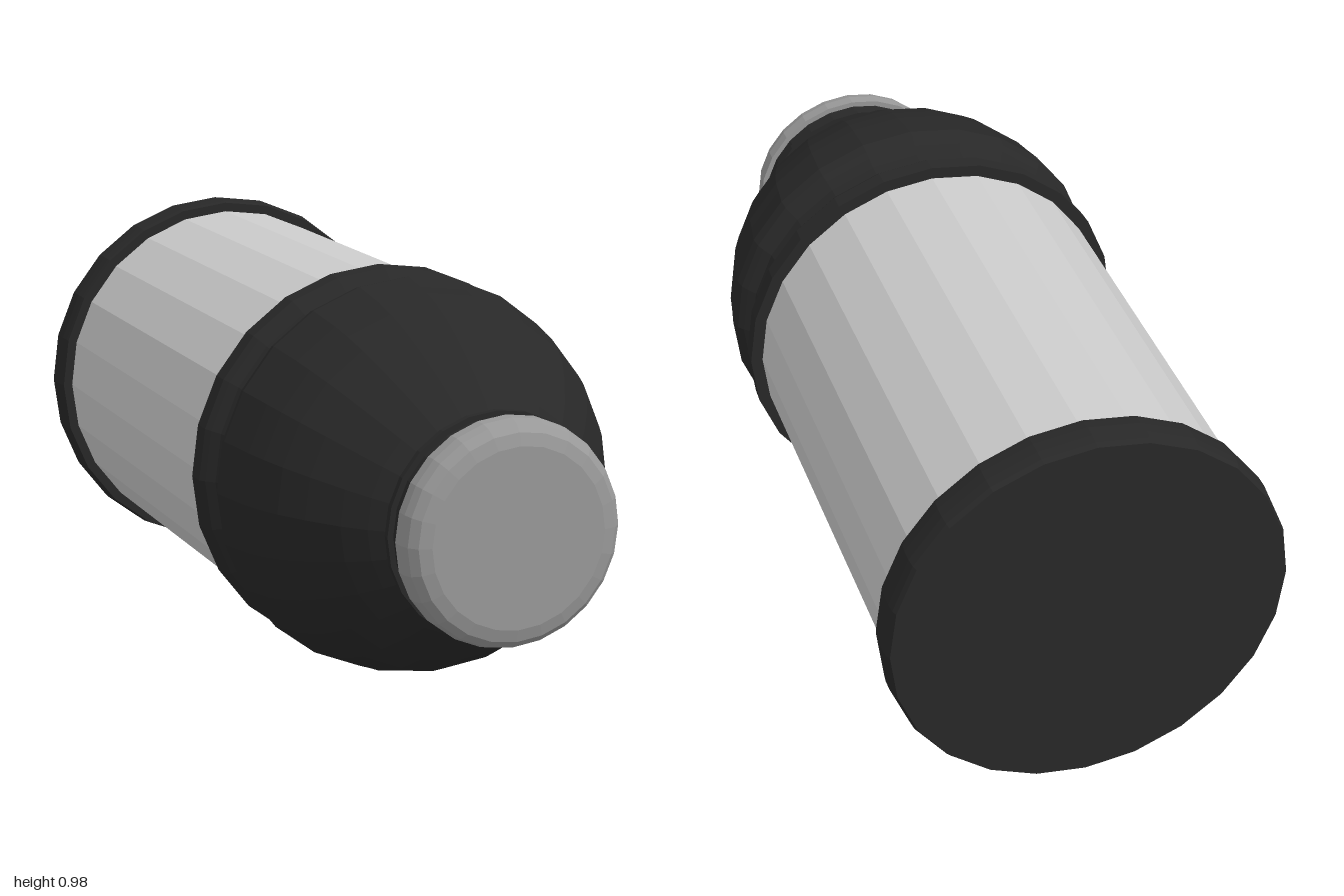
import * as THREE from 'three';

const SIDES = 24;
const material = (color) => new THREE.MeshStandardMaterial({ color, flatShading: true });

// Revolve [radius, z] pairs (ordered back to front) around the long axis.
function turned(name, profile, mat, sides = SIDES, start = 0, sweep = Math.PI * 2) {
  const points = profile.map(([r, z]) => new THREE.Vector2(r, z));
  const geometry = new THREE.LatheGeometry(points, sides, start, sweep);
  geometry.rotateX(Math.PI / 2);
  const mesh = new THREE.Mesh(geometry, mat);
  mesh.name = name;
  return mesh;
}

export function createModel() {
  const model = new THREE.Group();
  model.name = 'canister';
  const grey = material(0xcccccc);
  const capGrey = material(0x999999);
  const black = material(0x282828);

  // Straight faceted barrel
  model.add(turned('body', [[0.458, -0.92], [0.458, 0.21]], grey));

  // Closed base with softened rim
  model.add(turned('base', [
    [0, -1], [0.479, -1], [0.485, -0.988], [0.488, -0.965],
    [0.488, -0.935], [0.485, -0.912], [0.482, -0.9], [0.455, -0.9],
  ], black));

  // Shoulder: rim, waist groove, then dome
  model.add(turned('shoulder', [
    [0.455, 0.19], [0.488, 0.19], [0.486, 0.235], [0.476, 0.25], [0.457, 0.27],
    [0.448, 0.29], [0.452, 0.318], [0.47, 0.335], [0.482, 0.35], [0.488, 0.375],
    [0.475, 0.44], [0.467, 0.485], [0.45, 0.54], [0.425, 0.6], [0.385, 0.67],
    [0.33, 0.75], [0.285, 0.802], [0.245, 0.838],
  ], black));

  // Neck with a thin flange
  model.add(turned('neck', [
    [0.245, 0.838], [0.243, 0.861], [0.268, 0.861], [0.268, 0.877],
    [0.254, 0.877], [0.254, 0.92],
  ], black));

  // Rounded cap
  model.add(turned('cap', [
    [0.25, 0.92], [0.268, 0.92], [0.268, 0.95], [0.261, 0.973],
    [0.243, 0.992], [0.213, 1], [0, 1],
  ], capGrey));

  // Small light panel covering one facet on the left side of the dome
  model.add(turned('sidePanel', [[0.477, 0.44], [0.469, 0.485]], grey,
    1, Math.PI * 5 / 12, Math.PI / 12));

  model.position.y = 0.49;
  return model;
}
